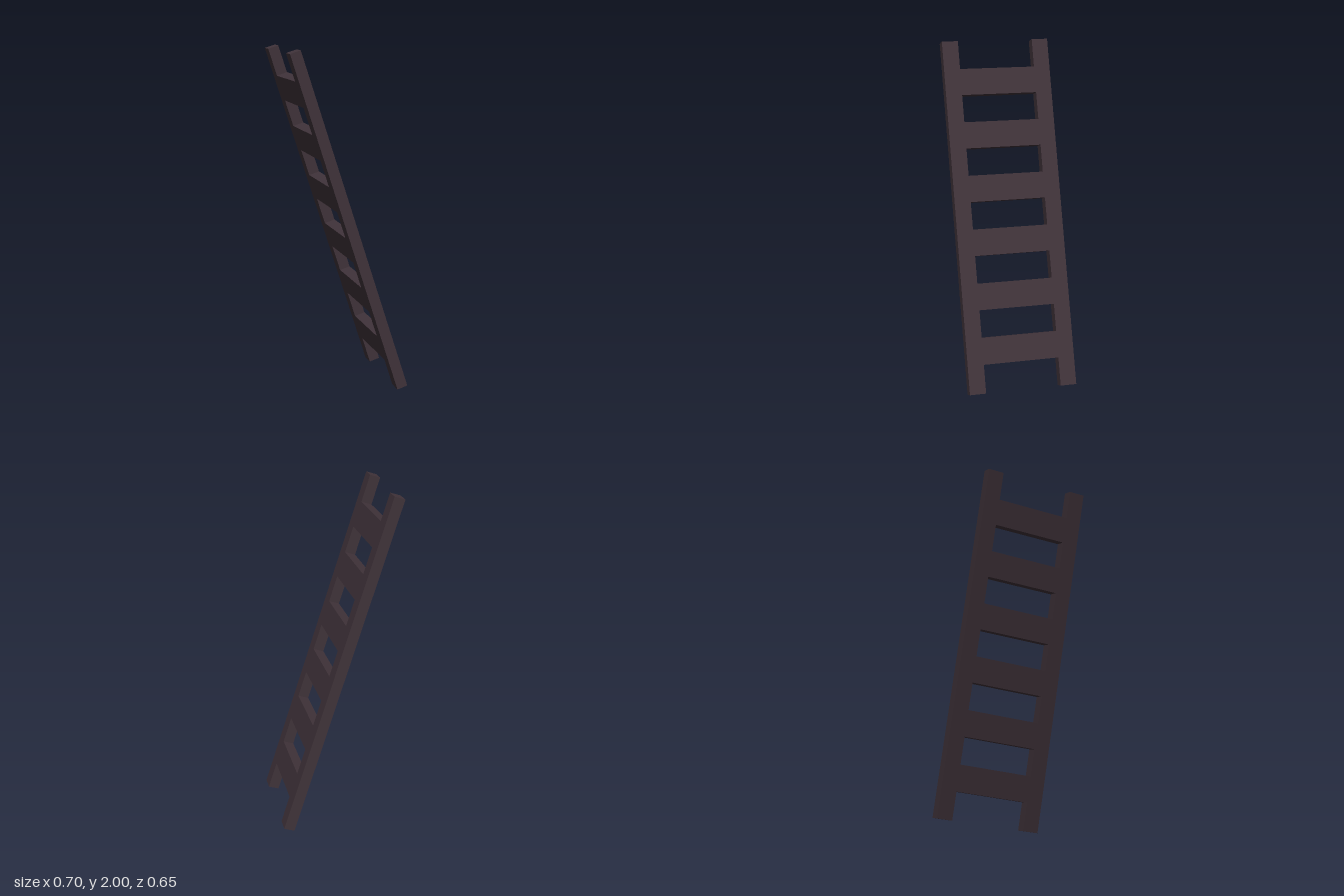
import * as THREE from 'three';

export function createModel() {
  const model = new THREE.Group();
  model.name = 'ladder';
  const wood = new THREE.MeshStandardMaterial({ color: 0x40333a, flatShading: true });

  const thickness = 0.064, length = 2.08;
  const outerZ = 0.325, innerZ = 0.228;
  const rungCount = 6, rungHeight = 0.156, rungPitch = 0.318;

  // Built upright around its own middle, then leaned towards -x
  const frame = new THREE.Group();
  frame.name = 'leaningFrame';
  frame.position.y = 1;
  frame.rotation.z = 0.312;
  model.add(frame);

  const addBox = (name, height, depth, y, z) => {
    const mesh = new THREE.Mesh(new THREE.BoxGeometry(thickness, height, depth), wood);
    mesh.name = name;
    mesh.position.set(0, y, z);
    frame.add(mesh);
  };

  // Side rails
  for (const side of [1, -1]) {
    addBox(side > 0 ? 'frontRail' : 'backRail', length, outerZ - innerZ, 0, side * (outerZ + innerZ) / 2);
  }

  // Wide rungs, flush with the rails
  for (let i = 0; i < rungCount; i++) {
    addBox(`rung${i + 1}`, rungHeight, innerZ * 2, (i - (rungCount - 1) / 2) * rungPitch, 0);
  }

  return model;
}
